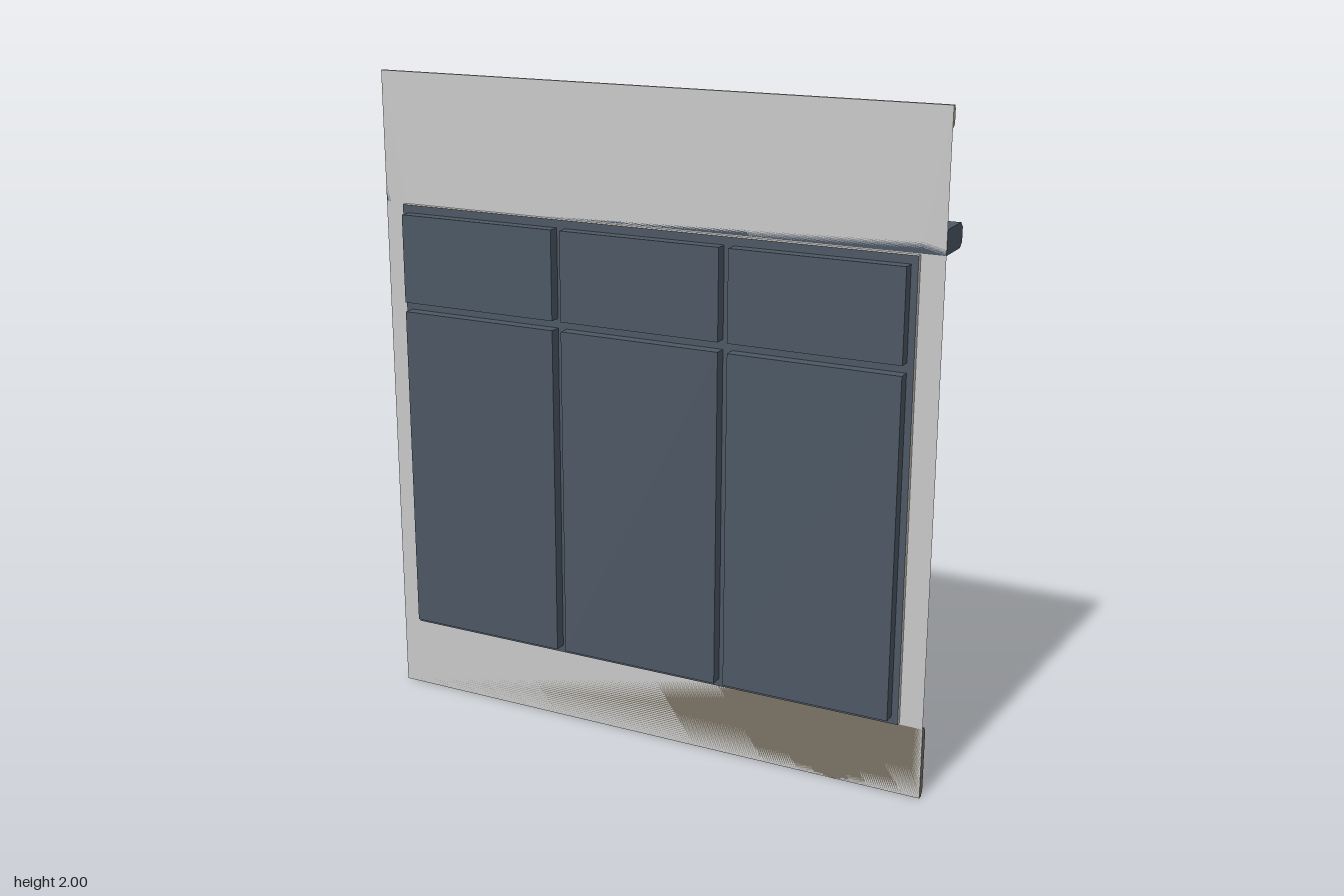
import * as THREE from 'three';

export function createModel() {
  const model = new THREE.Group();
  const mat = (name, color) => {
    const m = new THREE.MeshStandardMaterial({ color, side: THREE.DoubleSide });
    m.name = name;
    return m;
  };
  const wallGrey = mat('wall grey', 0xc8c8c8);
  const slate = mat('slate blue', 0x4c5763);
  const sand = mat('sand trim', 0xb5b09f);
  const taupe = mat('taupe plinth', 0x797265);
  const pale = mat('pale reveal', 0xcfccc4);

  const add = (name, geometry, material, parent = model) => {
    const mesh = new THREE.Mesh(geometry, material);
    mesh.name = name;
    parent.add(mesh);
    return mesh;
  };

  // Flat sheet with rectangular openings; rectangles are [x0, y0, x1, y1]
  const rect = (Type, [x0, y0, x1, y1]) => new Type()
    .moveTo(x0, y0).lineTo(x1, y0).lineTo(x1, y1).lineTo(x0, y1).closePath();
  const sheet = (outer, holes, z) => {
    const shape = rect(THREE.Shape, outer);
    shape.holes = holes.map((h) => rect(THREE.Path, h));
    return new THREE.ShapeGeometry(shape).translate(0, 0, z);
  };

  // Box keeping only its first faces: 4 = open tube along z, 5 = also closed at +z
  const openBox = ([x0, y0, x1, y1], z0, z1, faces) => {
    const g = new THREE.BoxGeometry(x1 - x0, y1 - y0, z1 - z0);
    g.setIndex(Array.from(g.index.array).slice(0, faces * 6));
    g.clearGroups();
    return g.translate((x0 + x1) / 2, (y0 + y1) / 2, (z0 + z1) / 2);
  };

  // Moulding: a [z, y] profile swept across the full width
  const W = 0.89;
  const moulding = (profile) => {
    const shape = new THREE.Shape(profile.map(([z, y]) => new THREE.Vector2(-z, y)));
    return new THREE.ExtrudeGeometry(shape, { depth: 2 * W, bevelEnabled: false })
      .translate(0, 0, -W).rotateY(Math.PI / 2);
  };

  const zWall = 0.04, zFrame = 0.057, zPane = 0.094;
  const opening = [-0.82, 0.228, 0.82, 1.602];

  // Wall and the lining of its opening
  add('wall', sheet([-W, 0, W, 2], [opening], zWall), wallGrey);
  add('openingReveal', openBox(opening, zWall, zFrame, 4), pale);

  // Window: frame sheet with six recessed panes
  const win = new THREE.Group();
  win.name = 'window';
  model.add(win);
  const panes = [];
  for (const [x0, x1] of [[-0.8, -0.283], [-0.254, 0.254], [0.283, 0.8]]) {
    for (const [y0, y1] of [[0.252, 1.277], [1.306, 1.578]]) panes.push([x0, y0, x1, y1]);
  }
  add('windowFrame', sheet(opening, panes, zFrame), slate, win);
  panes.forEach((p, i) => add('pane' + (i + 1), openBox(p, zFrame, zPane, 5), slate, win));

  // Projecting ledge above the window
  add('ledge', moulding([
    [zWall, 1.605], [-0.076, 1.605], [-0.092, 1.62], [-0.092, 1.66], [-0.076, 1.675], [zWall, 1.675],
  ]), slate);

  // Top trim and bottom plinth
  add('topTrim', moulding([
    [zWall, 1.942], [0.032, 1.942], [0.024, 1.952], [0.024, 1.99], [0.028, 2], [zWall, 2],
  ]), sand);
  add('plinth', moulding([
    [zWall, 0], [0.026, 0], [0.015, 0.014], [0.015, 0.206], [0.026, 0.222], [zWall, 0.222],
  ]), taupe);

  return model;
}
